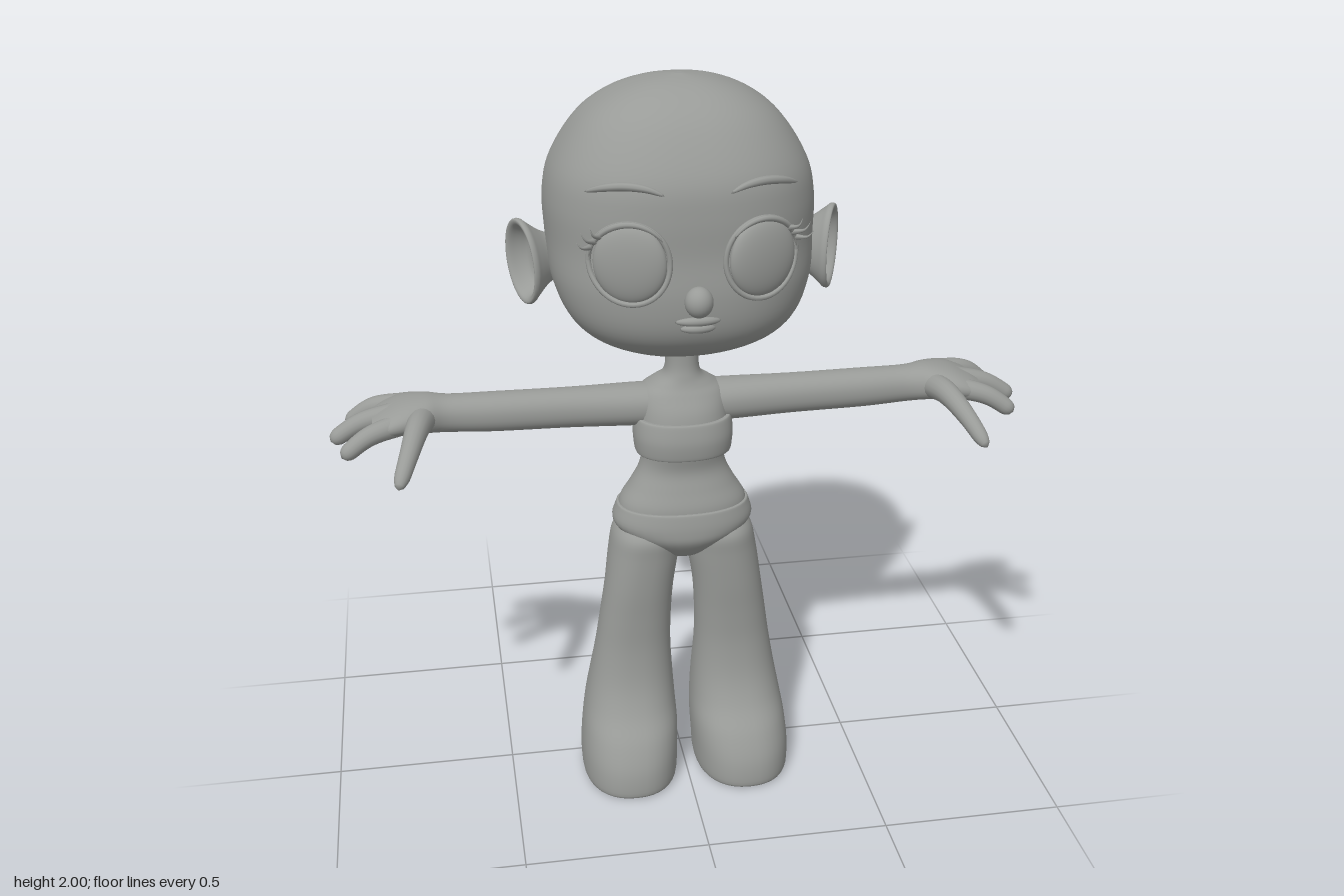
import * as THREE from 'three';
import { mergeVertices } from 'three/addons/utils/BufferGeometryUtils.js';

const grey = new THREE.MeshStandardMaterial({ color: 0x999b98 });
grey.name = 'clay grey';

// Smoothly subdivide cross-sections [t, a0, a1, b0, b1]
function refine(sections, steps = 5) {
  const rows = [];
  const at = i => sections[Math.min(sections.length - 1, Math.max(0, i))];
  for (let i = 0; i < sections.length - 1; i++) {
    for (let s = 0; s < steps; s++) {
      const u = s / steps;
      rows.push(at(i).map((p1, k) => {
        const p0 = at(i - 1)[k], p2 = at(i + 1)[k], p3 = at(i + 2)[k];
        return 0.5 * (2 * p1 + (p2 - p0) * u + (2 * p0 - 5 * p1 + 4 * p2 - p3) * u * u
          + (3 * p1 - p0 - 3 * p2 + p3) * u * u * u);
      }));
    }
  }
  rows.push(at(sections.length - 1));
  return rows;
}

// Loft superellipse sections along y (a = x, b = z) or along x (a = z, b = y)
function loft(sections, { axis = 'y', n = 2.2, sides = 40 } = {}) {
  const rows = refine(sections), pos = [], index = [];
  const put = (t, a, b) => (axis === 'y' ? pos.push(a, t, b) : pos.push(t, b, a));
  const soft = v => Math.sign(v) * Math.abs(v) ** (2 / n);
  const ring = ([t, a0, a1, b0, b1]) => {
    for (let j = 0; j < sides; j++) {
      const w = (j / sides) * Math.PI * 2;
      put(t, (a0 + a1) / 2 + (a1 - a0) / 2 * soft(Math.cos(w)),
        (b0 + b1) / 2 + (b1 - b0) / 2 * soft(Math.sin(w)));
    }
  };
  rows.forEach(ring);
  for (let i = 0; i < rows.length - 1; i++) {
    for (let j = 0; j < sides; j++) {
      const a = i * sides + j, b = i * sides + (j + 1) % sides;
      index.push(a, a + sides, b, b, a + sides, b + sides);
    }
  }
  // end caps
  [rows[0], rows[rows.length - 1]].forEach((row, end) => {
    const base = pos.length / 3;
    ring(row);
    put(row[0], (row[1] + row[2]) / 2, (row[3] + row[4]) / 2);
    for (let j = 0; j < sides; j++) {
      const a = base + j, b = base + (j + 1) % sides, c = base + sides;
      if (end) index.push(a, c, b); else index.push(a, b, c);
    }
  });
  const g = new THREE.BufferGeometry();
  g.setAttribute('position', new THREE.Float32BufferAttribute(pos, 3));
  g.setIndex(index);
  g.computeVertexNormals();
  return g;
}

// Tube whose radius follows width(t)
function taper(points, radius, width, seg = 20, sides = 12) {
  const curve = new THREE.CatmullRomCurve3(points.map(p => new THREE.Vector3(...p)));
  let g = new THREE.TubeGeometry(curve, seg, radius, sides);
  const p = g.attributes.position, v = new THREE.Vector3();
  for (let i = 0; i < p.count; i++) {
    const t = Math.floor(i / (sides + 1)) / seg, c = curve.getPointAt(t);
    v.fromBufferAttribute(p, i).sub(c).multiplyScalar(width(t)).add(c);
    p.setXYZ(i, v.x, v.y, v.z);
  }
  g.deleteAttribute('normal');
  g.deleteAttribute('uv');
  g = mergeVertices(g, 1e-5);
  g.computeVertexNormals();
  return g;
}
const fingerWidth = t => (1 - 0.3 * t) * Math.sqrt(Math.max(0, 1 - Math.max(0, (t - 0.85) / 0.15) ** 2));
const leafWidth = t => Math.sqrt(Math.max(0, Math.sin(Math.PI * t)));
const spikeWidth = t => 1 - t;

function mirrored(geo) {
  const g = geo.clone();
  g.scale(-1, 1, 1);
  const ix = g.index.array;
  for (let i = 0; i < ix.length; i += 3) [ix[i], ix[i + 1]] = [ix[i + 1], ix[i]];
  return g;
}

const HEAD = [
  [1.283, -.06, .06, -.05, .09], [1.305, -.15, .15, -.10, .165], [1.35, -.245, .245, -.165, .24],
  [1.41, -.303, .303, -.22, .28], [1.5, -.338, .338, -.285, .292], [1.6, -.346, .346, -.328, .285],
  [1.7, -.348, .348, -.345, .285], [1.79, -.326, .326, -.325, .272], [1.89, -.262, .262, -.26, .215],
  [1.95, -.187, .187, -.185, .155], [1.985, -.1, .1, -.1, .085], [2.0, -.012, .012, -.012, .012]];
const headRows = refine(HEAD, 24);

// Point on the face surface, pushed forward by off
function onFace(x, y, off = 0) {
  const r = headRows.reduce((m, q) => (Math.abs(q[0] - y) < Math.abs(m[0] - y) ? q : m));
  const k = Math.max(0, 1 - Math.abs(x / r[2]) ** 2.4) ** (1 / 2.4);
  return [x, y, (r[3] + r[4]) / 2 + (r[4] - r[3]) / 2 * k + off];
}

export function createModel() {
  const model = new THREE.Group();
  model.name = 'figure';
  const add = (name, geo) => {
    const m = new THREE.Mesh(geo, grey);
    m.name = name;
    model.add(m);
  };
  const pair = (name, geo) => {
    add(name + 'Left', geo);
    add(name + 'Right', mirrored(geo));
  };

  // Head, nose and lips
  add('head', loft(HEAD, { n: 2.4, sides: 64 }));
  add('nose', new THREE.SphereGeometry(.036, 24, 16).scale(1, 1.1, 1).translate(0, 1.5, .3));
  for (const [name, y, w, r] of [['upperLip', 1.45, .058, .012], ['lowerLip', 1.43, .045, .012]]) {
    add(name, taper([-1, -.5, 0, .5, 1].map(k => onFace(k * w, y - .004 * k * k, .012 - .012 * k * k)), r, leafWidth));
  }

  // Eyes with rims, lids, lashes and brows
  pair('eye', new THREE.SphereGeometry(1, 36, 24).scale(.093, .1, .028)
    .rotateY(.36).translate(.165, 1.595, .262));
  const eyeArc = (from, to, off) => Array.from({ length: 25 }, (_, i) => {
    const w = from + (to - from) * i / 24;
    return onFace(.165 + .096 * Math.cos(w), 1.595 + .102 * Math.sin(w), off);
  });
  pair('eyeRim', taper(eyeArc(0, Math.PI * 2, .003), .007, () => 1, 48, 8));
  pair('upperLid', taper(eyeArc(.1, 2.5, .012), .008, leafWidth, 32, 8));
  for (const [x0, y0, x1, y1] of [[.235, 1.66, .262, 1.695], [.247, 1.645, .285, 1.682], [.256, 1.63, .295, 1.655]]) {
    const a = onFace(x0, y0, .01), z = a[2] + .03;
    pair('lash', taper([a, [(x0 + x1) / 2 + .006, (y0 + y1) / 2 - .004, z], [x1, y1, z + .005]], .008, spikeWidth, 10, 6));
  }
  pair('brow', taper([[.08, 1.765], [.12, 1.78], [.17, 1.785], [.22, 1.778], [.265, 1.762]]
    .map(([x, y]) => onFace(x, y, .003)), .011, leafWidth, 24, 8));

  // Cupped ears, tilted back and opening forward
  const earProfile = [[.5, 0], [.65, .04], [.88, .075], [1, .092], [.98, .104], [.86, .1], [.72, .075], [.5, .055], [.001, .05]];
  pair('ear', new THREE.LatheGeometry(new THREE.SplineCurve(earProfile.map(p => new THREE.Vector2(...p))).getPoints(32), 36)
    .scale(.112, 1, .074).rotateZ(-Math.PI / 2).rotateX(-.25).rotateY(-.45).translate(.32, 1.525, -.055));

  // Neck and torso
  add('torso', loft([
    [.8, -.18, .18, -.06, .16], [.85, -.174, .174, -.058, .16], [.9, -.145, .145, -.04, .146],
    [.95, -.12, .12, -.024, .134], [1.0, -.112, .112, -.028, .142], [1.06, -.122, .122, -.04, .155],
    [1.12, -.122, .122, -.052, .145], [1.165, -.115, .115, -.052, .122], [1.19, -.085, .085, -.035, .108],
    [1.215, -.053, .053, -.01, .1], [1.25, -.044, .044, -.002, .094], [1.32, -.046, .046, -.002, .094]]));

  // Clothing bands
  add('bandeauTop', loft([[1.0, -.125, .125, -.038, .158], [1.006, -.131, .131, -.043, .164],
    [1.05, -.135, .135, -.048, .168], [1.095, -.132, .132, -.056, .16], [1.102, -.127, .127, -.053, .155]], { n: 2.3 }));
  add('briefs', loft([[.675, -.03, .03, .01, .085], [.7, -.075, .075, -.045, .13], [.75, -.155, .155, -.074, .17],
    [.79, -.193, .193, -.078, .176], [.835, -.184, .184, -.068, .17], [.842, -.179, .179, -.064, .166]]));

  // Flared legs ending in solid feet
  pair('leg', loft([
    [0, .045, .283, -.078, .258], [.012, .03, .298, -.09, .274], [.08, .025, .3, -.092, .266],
    [.15, .022, .294, -.088, .235], [.22, .025, .283, -.08, .187], [.3, .03, .268, -.06, .156],
    [.4, .036, .25, -.036, .143], [.5, .035, .235, -.027, .145], [.6, .028, .22, -.03, .152],
    [.7, .012, .206, -.058, .156], [.76, .012, .192, -.062, .155], [.8, .05, .16, -.02, .12]], { n: 2.3 }));

  // Arms with palms
  pair('arm', loft([
    [0, -.03, .1, 1.07, 1.18], [.12, -.025, .1, 1.07, 1.183], [.3, -.015, .09, 1.075, 1.182],
    [.5, -.015, .088, 1.078, 1.183], [.62, -.013, .09, 1.086, 1.185], [.68, -.03, .118, 1.095, 1.192],
    [.74, -.056, .138, 1.1, 1.184], [.79, -.052, .136, 1.1, 1.165], [.82, -.025, .115, 1.11, 1.148]], { axis: 'x' }));

  // Fingers and thumb
  for (const [name, pts, r] of [
    ['rearFinger', [[.73, 1.145, -.018], [.82, 1.13, -.045], [.892, 1.078, -.066]], .031],
    ['middleFinger', [[.76, 1.145, .042], [.85, 1.125, .042], [.932, 1.078, .045]], .031],
    ['frontFinger', [[.73, 1.142, .095], [.83, 1.12, .125], [.902, 1.075, .147]], .031],
    ['thumb', [[.685, 1.14, .06], [.705, 1.148, .16], [.73, 1.12, .26], [.76, 1.068, .343]], .038]]) {
    pair(name, taper(pts, r, name === 'thumb' ? t => fingerWidth(t) * (1 - .3 * t) : fingerWidth, 28, 16));
  }
  return model;
}
